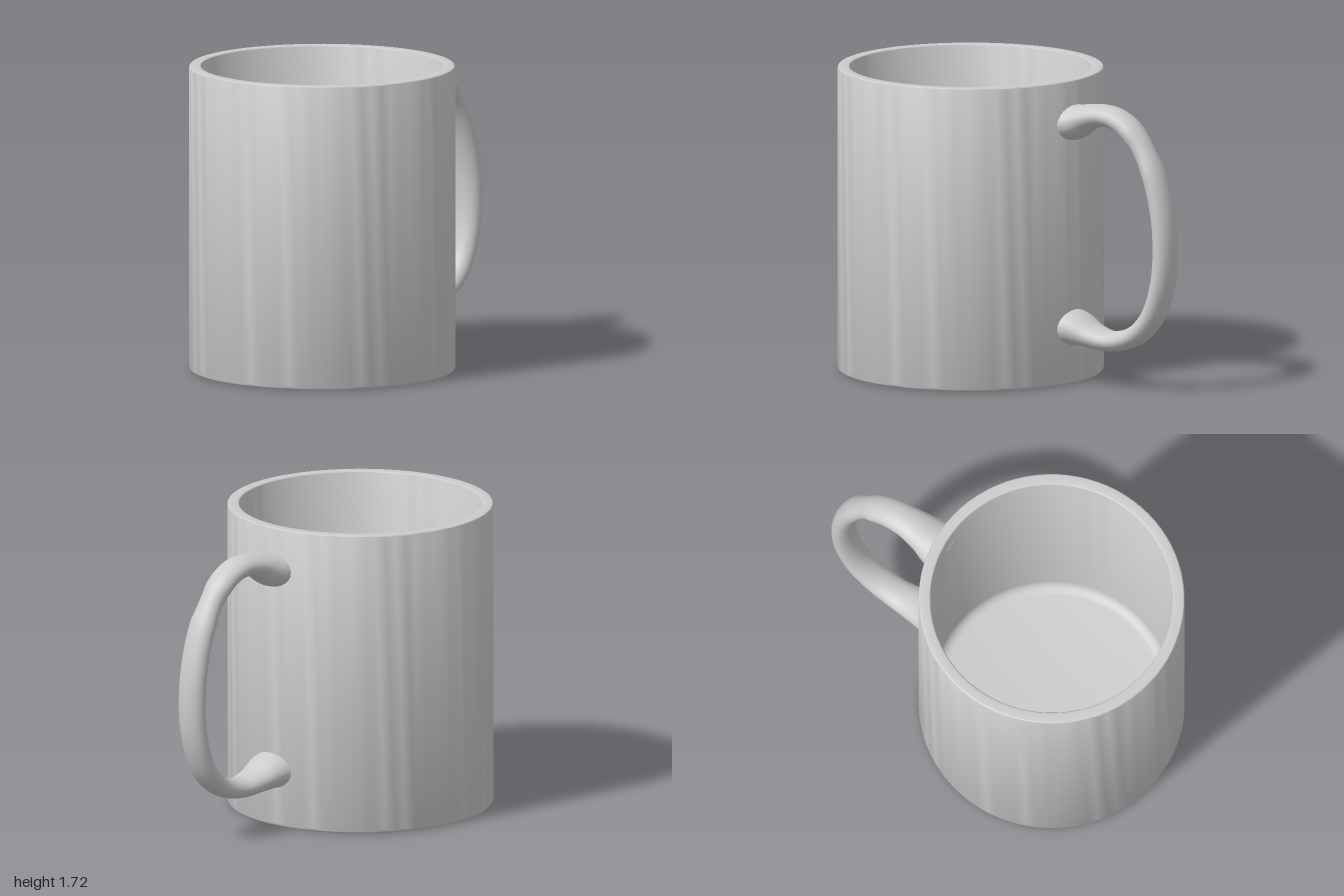
import * as THREE from 'three';
import { toCreasedNormals } from 'three/addons/utils/BufferGeometryUtils.js';

const HEIGHT = 1.72, OUTER = 0.743, INNER = 0.675;

// Points of a rounded corner, from angle a0 to a1 (degrees)
function corner(x, y, r, a0, a1, steps = 4) {
  return Array.from({ length: steps + 1 }, (_, i) => {
    const a = THREE.MathUtils.degToRad(a0 + (a1 - a0) * i / steps);
    return new THREE.Vector2(x + r * Math.cos(a), y + r * Math.sin(a));
  });
}

// Closed profile: recessed underside, foot, outer wall, rim, inner wall, floor
function bodyGeometry() {
  const profile = [
    new THREE.Vector2(0, 0.03),
    new THREE.Vector2(0.62, 0.03),
    new THREE.Vector2(0.65, 0.012),
    new THREE.Vector2(0.69, 0),
    ...corner(OUTER - 0.02, 0.02, 0.02, -90, 0),
    ...corner(OUTER - 0.01, HEIGHT - 0.01, 0.01, 0, 90),
    ...corner(INNER + 0.01, HEIGHT - 0.01, 0.01, 90, 180),
    ...corner(INNER - 0.06, 0.15, 0.06, 0, -90, 5),
    new THREE.Vector2(0, 0.09),
  ];
  return toCreasedNormals(new THREE.LatheGeometry(profile, 80), 0.7);
}

// Oval tube swept along a curve, flaring where it meets the wall
function handleGeometry() {
  // distance from axis, height, half thickness, half width
  const stations = [
    [0.69, 1.475, 0.105, 0.155], [0.76, 1.487, 0.098, 0.138], [0.85, 1.522, 0.072, 0.112],
    [0.96, 1.541, 0.061, 0.094], [1.06, 1.522, 0.06, 0.087], [1.165, 1.452, 0.06, 0.084],
    [1.29, 1.27, 0.06, 0.084], [1.36, 1.05, 0.061, 0.086], [1.383, 0.83, 0.061, 0.087],
    [1.36, 0.61, 0.061, 0.086], [1.285, 0.425, 0.06, 0.084], [1.165, 0.312, 0.058, 0.084],
    [1.01, 0.267, 0.057, 0.09], [0.87, 0.285, 0.07, 0.11], [0.76, 0.315, 0.098, 0.138],
    [0.69, 0.322, 0.105, 0.155],
  ];
  const path = new THREE.CatmullRomCurve3(stations.map(([u, y]) => new THREE.Vector3(u, y, 0)));
  const size = new THREE.CatmullRomCurve3(stations.map(([, , a, b]) => new THREE.Vector3(a, b, 0)));
  const rings = 60, sides = 24, pos = [], index = [];
  for (let i = 0; i <= rings; i++) {
    const t = i / rings, p = path.getPoint(t), d = path.getTangent(t), s = size.getPoint(t);
    for (let j = 0; j < sides; j++) {
      const a = j / sides * Math.PI * 2, c = s.x * Math.cos(a);
      pos.push(p.x - d.y * c, p.y + d.x * c, s.y * Math.sin(a));
      if (i < rings) {
        const k = i * sides + j, n = i * sides + (j + 1) % sides;
        index.push(k, n, k + sides, n, n + sides, k + sides);
      }
    }
  }
  const geo = new THREE.BufferGeometry();
  geo.setAttribute('position', new THREE.Float32BufferAttribute(pos, 3));
  geo.setIndex(index);
  geo.computeVertexNormals();
  return geo;
}

export function createModel() {
  const material = new THREE.MeshStandardMaterial({ color: 0xcccccc });
  const mug = new THREE.Group();
  mug.name = 'mug';

  const body = new THREE.Mesh(bodyGeometry(), material);
  body.name = 'body';

  // Handle points to the left and back
  const handle = new THREE.Mesh(handleGeometry(), material);
  handle.name = 'handle';
  handle.rotation.y = THREE.MathUtils.degToRad(32);

  for (const part of [body, handle]) {
    part.position.set(-0.257, 0, 0.03);
    mug.add(part);
  }
  return mug;
}
